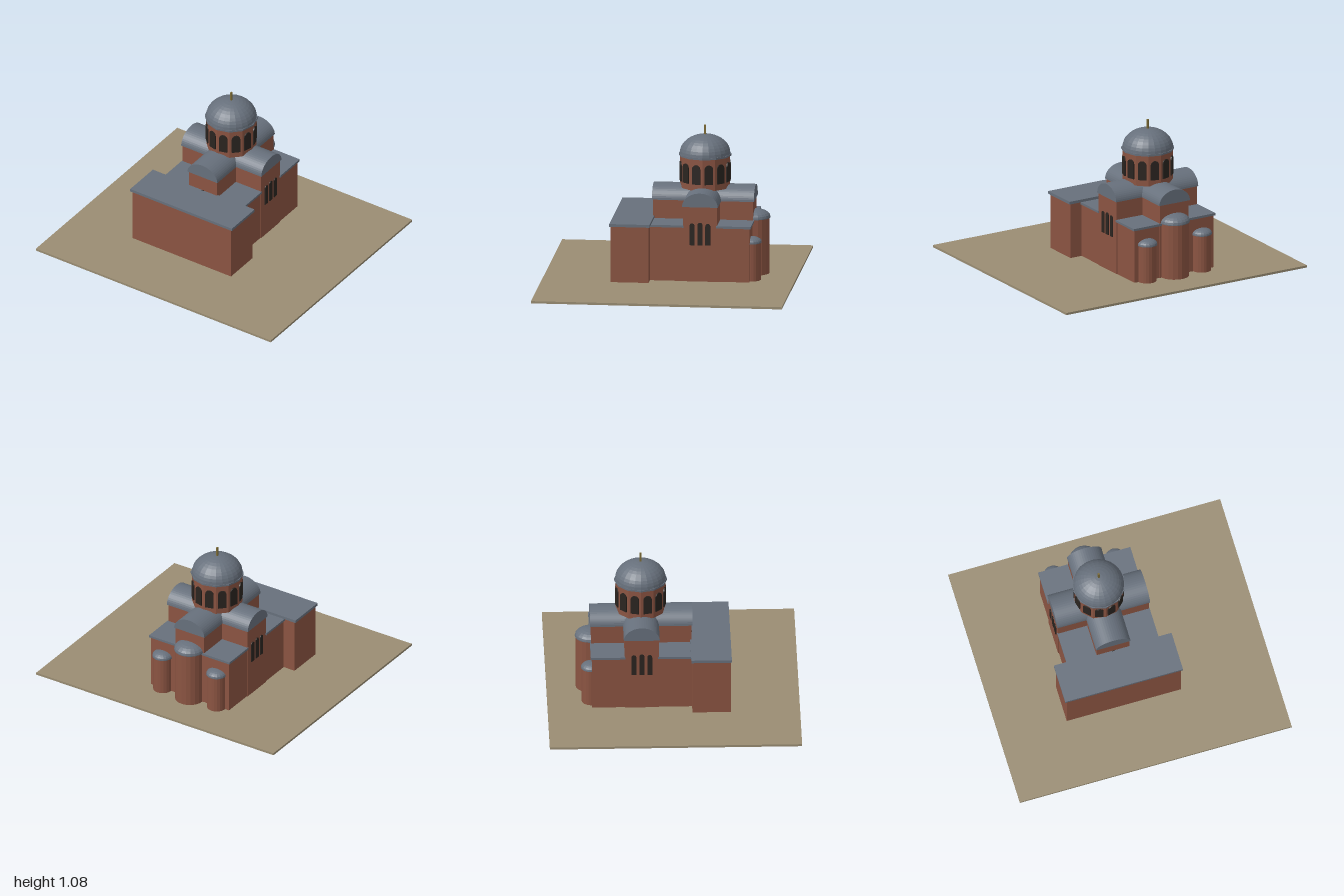
import * as THREE from 'three';

const mat = (color, side = THREE.FrontSide) =>
  new THREE.MeshStandardMaterial({ color, flatShading: true, side });
const BRICK = mat(0x8b5442);
const ROOF = mat(0x67707c);
const DARK = mat(0x2a2420);
const GROUND = mat(0x9a8d73);
const GOLD = mat(0x7d6c36);

// Centre of the crossing
const CX = -0.09, CZ = -0.225;

export function createModel() {
  const root = new THREE.Group();

  function add(name, geometry, material, x = 0, y = 0, z = 0, parent = root) {
    const mesh = new THREE.Mesh(geometry, material);
    mesh.name = name;
    mesh.position.set(x, y, z);
    parent.add(mesh);
    return mesh;
  }

  // Box given by its limits on each axis
  function block(name, material, x0, x1, y0, y1, z0, z1) {
    return add(name, new THREE.BoxGeometry(x1 - x0, y1 - y0, z1 - z0), material,
      (x0 + x1) / 2, (y0 + y1) / 2, (z0 + z1) / 2);
  }

  // Half-elliptical barrel roof running along z, centred on its origin
  function vaultGeometry(halfWidth, height, length) {
    const shape = new THREE.Shape();
    shape.moveTo(halfWidth, 0);
    shape.absellipse(0, 0, halfWidth, height, 0, Math.PI, false, 0);
    shape.closePath();
    const g = new THREE.ExtrudeGeometry(shape, { depth: length, bevelEnabled: false, curveSegments: 12 });
    return g.translate(0, 0, -length / 2);
  }

  // Round-headed window panel facing +z, standing on its origin
  function windowGeometry(width, height, depth) {
    const r = width / 2, shape = new THREE.Shape();
    shape.moveTo(-r, 0);
    shape.lineTo(r, 0);
    shape.lineTo(r, height - r);
    shape.absarc(0, height - r, r, 0, Math.PI, false);
    shape.closePath();
    const g = new THREE.ExtrudeGeometry(shape, { depth, bevelEnabled: false, curveSegments: 8 });
    return g.translate(0, 0, -depth / 2);
  }

  // Ground plate
  block('ground', GROUND, -1, 1, 0.002, 0.018, -0.89, 0.89);

  // Entrance hall across the front
  block('entranceHall', BRICK, -0.51, 0.33, 0, 0.42, 0.13, 0.4);
  block('entranceHallRoof', ROOF, -0.523, 0.343, 0.42, 0.44, 0.122, 0.408);

  // Four corner bays with flat roofs
  for (const sx of [-1, 1]) {
    for (const [z0, z1] of [[-0.575, -0.34], [-0.11, 0.13]]) {
      const inner = CX + sx * 0.1, wall = CX + sx * 0.328, eave = CX + sx * 0.339;
      const front = z1 > 0;
      block('cornerBay', BRICK, Math.min(inner, wall), Math.max(inner, wall), 0, 0.405, z0, z1);
      block('cornerBayRoof', ROOF, Math.min(inner, eave), Math.max(inner, eave),
        0.405, 0.421, front ? z0 : -0.585, z1);
    }
  }

  // Cross arms with barrel roofs
  block('longArm', BRICK, CX - 0.12, CX + 0.12, 0, 0.556, -0.578, 0.133);
  block('crossArm', BRICK, CX - 0.334, CX + 0.334, 0, 0.556, CZ - 0.12, CZ + 0.12);
  add('longArmVault', vaultGeometry(0.127, 0.1, 0.724), ROOF, CX, 0.555, -0.223);
  add('crossArmVault', vaultGeometry(0.127, 0.1, 0.682), ROOF, CX, 0.555, CZ)
    .rotation.y = Math.PI / 2;

  // Triple windows at the arm ends
  for (const [x, z, turn] of [[CX + 0.334, CZ, Math.PI / 2], [CX - 0.334, CZ, -Math.PI / 2], [CX, 0.133, 0]]) {
    const group = new THREE.Group();
    group.name = 'armWindows';
    group.position.set(x, 0.28, z);
    group.rotation.y = turn;
    for (const i of [-1, 0, 1]) {
      add('armWindow', windowGeometry(0.035, i ? 0.157 : 0.163, 0.01), DARK, i * 0.056, 0, 0, group);
    }
    root.add(group);
  }

  // Apses at the back, each with a low half dome
  for (const [name, x, r, wallTop, rise] of [
    ['mainApse', CX, 0.105, 0.425, 0.055],
    ['sideApse', CX - 0.227, 0.068, 0.293, 0.037],
    ['sideApse', CX + 0.227, 0.068, 0.293, 0.037],
  ]) {
    add(name, new THREE.CylinderGeometry(r, r, wallTop, 20), BRICK, x, wallTop / 2, -0.578);
    const dome = new THREE.SphereGeometry(r + 0.006, 20, 6, 0, Math.PI * 2, 0, Math.PI / 2);
    add(name + 'Roof', dome.scale(1, rise / (r + 0.006), 1), ROOF, x, wallTop, -0.578);
    add(name + 'Eave', new THREE.CylinderGeometry(r + 0.006, r + 0.006, 0.006, 20), ROOF,
      x, wallTop - 0.003, -0.578);
  }

  // Twelve-sided drum with a window on every face
  const drum = new THREE.Group();
  drum.name = 'drum';
  drum.position.set(CX, 0, CZ);
  root.add(drum);
  add('drumWall', new THREE.CylinderGeometry(0.177, 0.177, 0.23, 12), BRICK, 0, 0.75, 0, drum);
  for (let i = 0; i < 12; i++) {
    const a = (i + 0.5) * Math.PI / 6;
    add('drumWindow', windowGeometry(0.06, 0.14, 0.02), DARK,
      Math.sin(a) * 0.169, 0.68, Math.cos(a) * 0.169, drum).rotation.y = a;
  }

  // Eave, dome and finial
  add('domeEave', new THREE.CylinderGeometry(0.187, 0.187, 0.014, 12), ROOF, 0, 0.867, 0, drum);
  const dome = new THREE.SphereGeometry(0.18, 24, 10, 0, Math.PI * 2, 0, Math.PI / 2);
  add('dome', dome.scale(1, 0.138 / 0.18, 1), ROOF, 0, 0.872, 0, drum);
  add('finial', new THREE.BoxGeometry(0.012, 0.08, 0.012), GOLD, 0, 1.037, 0, drum);

  return root;
}
